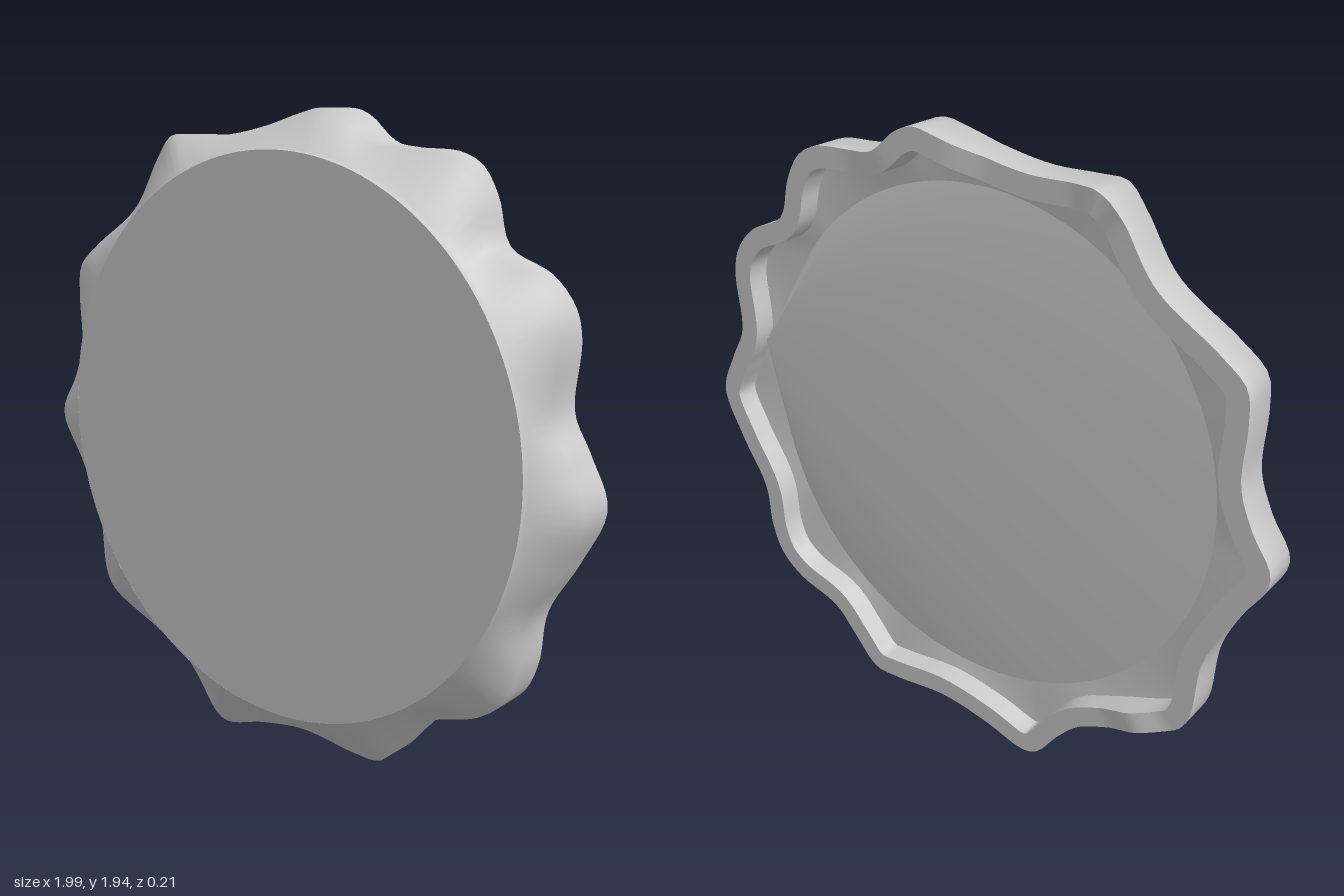
import * as THREE from 'three';
import { toCreasedNormals } from 'three/addons/utils/BufferGeometryUtils.js';

const CX = 0.007, CY = 0.98, R = 0.847, N = 220;

// Crimped rim outline, clockwise seen from the front
const OUTLINE = [
  [0.14, 1.94], [0.2, 1.92], [0.29, 1.85], [0.38, 1.835], [0.52, 1.825], [0.59, 1.79], [0.64, 1.71],
  [0.68, 1.585], [0.81, 1.52], [0.88, 1.44], [0.9, 1.36], [0.89, 1.17], [0.94, 1.07],
  [0.997, 0.93], [0.93, 0.77], [0.84, 0.61], [0.82, 0.46], [0.78, 0.365], [0.7, 0.3], [0.54, 0.24],
  [0.46, 0.155], [0.37, 0.062], [0.28, 0.057], [0.08, 0.073], [-0.09, 0.045],
  [-0.24, 0.003], [-0.29, 0.02], [-0.37, 0.12], [-0.44, 0.19], [-0.57, 0.25], [-0.77, 0.34], [-0.805, 0.4],
  [-0.83, 0.6], [-0.91, 0.77], [-0.997, 0.93], [-0.93, 1.06], [-0.89, 1.17], [-0.893, 1.35], [-0.88, 1.44],
  [-0.8, 1.51], [-0.61, 1.64], [-0.51, 1.79], [-0.45, 1.86], [-0.37, 1.865], [-0.22, 1.865], [-0.07, 1.89], [0.06, 1.925],
];

// Small dents where the back edge sticks out further
function backBump(x, y) {
  const tri = (px, py, w) => Math.max(0, 1 - Math.hypot(x - px, y - py) / w);
  const ramp = Math.min((x + 0.08) / 0.1, (0.4 - x) / 0.12);
  const top = y > 1.6 ? THREE.MathUtils.clamp(ramp, 0, 1) : 0;
  return 0.026 * top + 0.022 * (tri(-0.64, 0.28, 0.1) + tri(-0.45, 1.86, 0.09));
}

// Bands lofted between successive rings
function loft(rings, crease) {
  const pos = [], index = [];
  rings.forEach((ring) => ring.forEach((p) => pos.push(p.x, p.y, p.z)));
  for (let r = 0; r < rings.length - 1; r++) {
    for (let i = 0; i < N; i++) {
      const j = (i + 1) % N, a = r * N + i, b = r * N + j, c = a + N, d = b + N;
      index.push(a, b, c, b, d, c);
    }
  }
  const g = new THREE.BufferGeometry();
  g.setAttribute('position', new THREE.Float32BufferAttribute(pos, 3));
  g.setIndex(index);
  return toCreasedNormals(g, crease);
}

export function createModel() {
  const group = new THREE.Group();
  group.name = 'bottleCap';
  const material = new THREE.MeshStandardMaterial({ color: 0xcccccc, side: THREE.DoubleSide });
  const add = (name, geometry) => {
    const mesh = new THREE.Mesh(geometry, material);
    mesh.name = name;
    group.add(mesh);
    return mesh;
  };

  const curve = new THREE.CatmullRomCurve3(
    OUTLINE.map(([x, y]) => new THREE.Vector3(x, y, 0)), true, 'centripetal');
  const outer = curve.getSpacedPoints(N).slice(0, N);

  // Ring helpers: a circle, or the outline moved inward along its normal
  const circle = (r, z) => outer.map((p) => {
    const a = Math.atan2(p.y - CY, p.x - CX);
    return new THREE.Vector3(CX + r * Math.cos(a), CY + r * Math.sin(a), z);
  });
  const rim = (inset, z, bump = 0) => outer.map((p, i) => {
    const t = outer[(i + 2) % N].clone().sub(outer[(i + N - 2) % N]).normalize();
    return new THREE.Vector3(p.x + t.y * inset, p.y - t.x * inset, z - bump * backBump(p.x, p.y));
  });

  // Smooth crimped skirt, flat edge at the back
  const backOuter = rim(0, -0.083, 1), backInner = rim(0.065, -0.083, 1);
  add('crimpedSkirt', loft([circle(R, 0.105), circle(R + 0.002, 0.078), rim(0, 0.035), backOuter], 1.5));
  add('backEdge', loft([backOuter, backInner], 0.95));

  // Hollow inside: wall, and a floor fanning out from one raised corner
  const floorRing = circle(0.8, 0);
  const corner = new THREE.Vector3(0.79, 1.155, -0.075);
  add('innerWall', loft([backInner, rim(0.065, -0.01), floorRing], 0.5));
  add('innerFloor', loft([floorRing, floorRing.map(() => corner)], 0.5));

  // Flat round face
  add('frontFace', new THREE.CircleGeometry(R, 128)).position.set(CX, CY, 0.105);
  return group;
}
